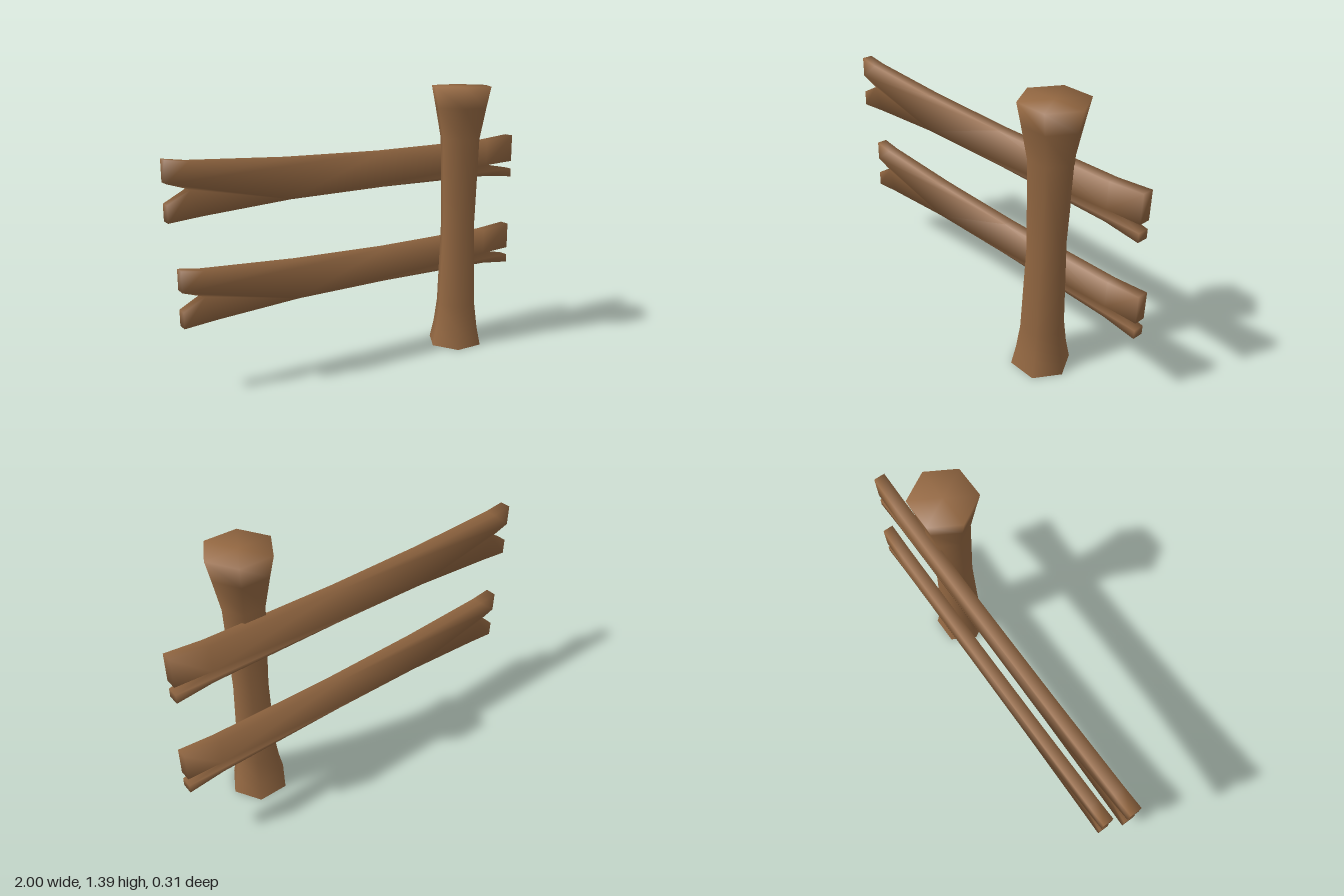
import * as THREE from 'three';

// Rail outline, counter-clockwise from the lower left tip, with split ends
const OUTLINE = [
  [-1, 0.84], [-0.84, 0.855], [-0.4, 0.884], [0.12, 0.892], [0.45, 0.889], [0.8, 0.885], [0.98, 0.865],
  [0.98, 0.91], [0.8, 0.944], [0.98, 0.953],
  [0.98, 1.097], [0.8, 1.08], [0.45, 1.074], [0.12, 1.07], [-0.4, 1.08], [-0.89, 1.105], [-1, 1.12],
  [-1, 1.016], [-0.89, 0.98], [-1, 0.92],
].map(([x, y]) => new THREE.Vector2(x, y));
const DEPTH = 0.057;

// Flat plank whose normals are rounded over at the outline
function railGeometry() {
  const geometry = new THREE.ExtrudeGeometry(new THREE.Shape(OUTLINE), { depth: DEPTH, bevelEnabled: false });
  const n = OUTLINE.length;
  const edgeNormal = (a, b) => new THREE.Vector2(b.y - a.y, a.x - b.x).normalize();
  const rounded = OUTLINE.map((p, i) =>
    edgeNormal(OUTLINE[(i + n - 1) % n], p).add(edgeNormal(p, OUTLINE[(i + 1) % n])).normalize());
  const pos = geometry.attributes.position;
  const v = new THREE.Vector3();
  for (let i = 0; i < pos.count; i++) {
    const k = OUTLINE.findIndex(p => Math.hypot(p.x - pos.getX(i), p.y - pos.getY(i)) < 1e-4);
    v.set(rounded[k].x, rounded[k].y, pos.getZ(i) > DEPTH / 2 ? 1 : -1).normalize();
    geometry.attributes.normal.setXYZ(i, v.x, v.y, v.z);
  }
  return geometry;
}

export function createModel() {
  const group = new THREE.Group();
  const wood = new THREE.MeshStandardMaterial({ color: 0x946842 });
  wood.name = 'brown wood';

  const add = (name, geometry, parent = group) => {
    const mesh = new THREE.Mesh(geometry, wood);
    mesh.name = name;
    parent.add(mesh);
    return mesh;
  };

  // Six-sided post, flared at both ends
  const post = new THREE.Group();
  post.name = 'post';
  post.position.set(0.545, 0, 0.011);
  group.add(post);
  const profile = [
    [0.148, 0], [0.126, 0.1], [0.109, 0.225], [0.094, 0.68],
    [0.108, 1.12], [0.14, 1.28], [0.163, 1.387], [0, 1.387],
  ].map(([r, y]) => new THREE.Vector2(r, y));
  add('postShaft', new THREE.LatheGeometry(profile, 6, Math.PI / 6), post);
  add('postBase', new THREE.CircleGeometry(0.148, 6).rotateX(Math.PI / 2), post);

  // Two rails behind the post, the lower one slightly smaller and shifted
  const rail = railGeometry();
  add('upperRail', rail).position.z = -0.125;
  const lower = add('lowerRail', rail);
  lower.scale.set(0.982, 0.982, 1);
  lower.position.set(0.037, -0.494, -0.153);

  return group;
}
